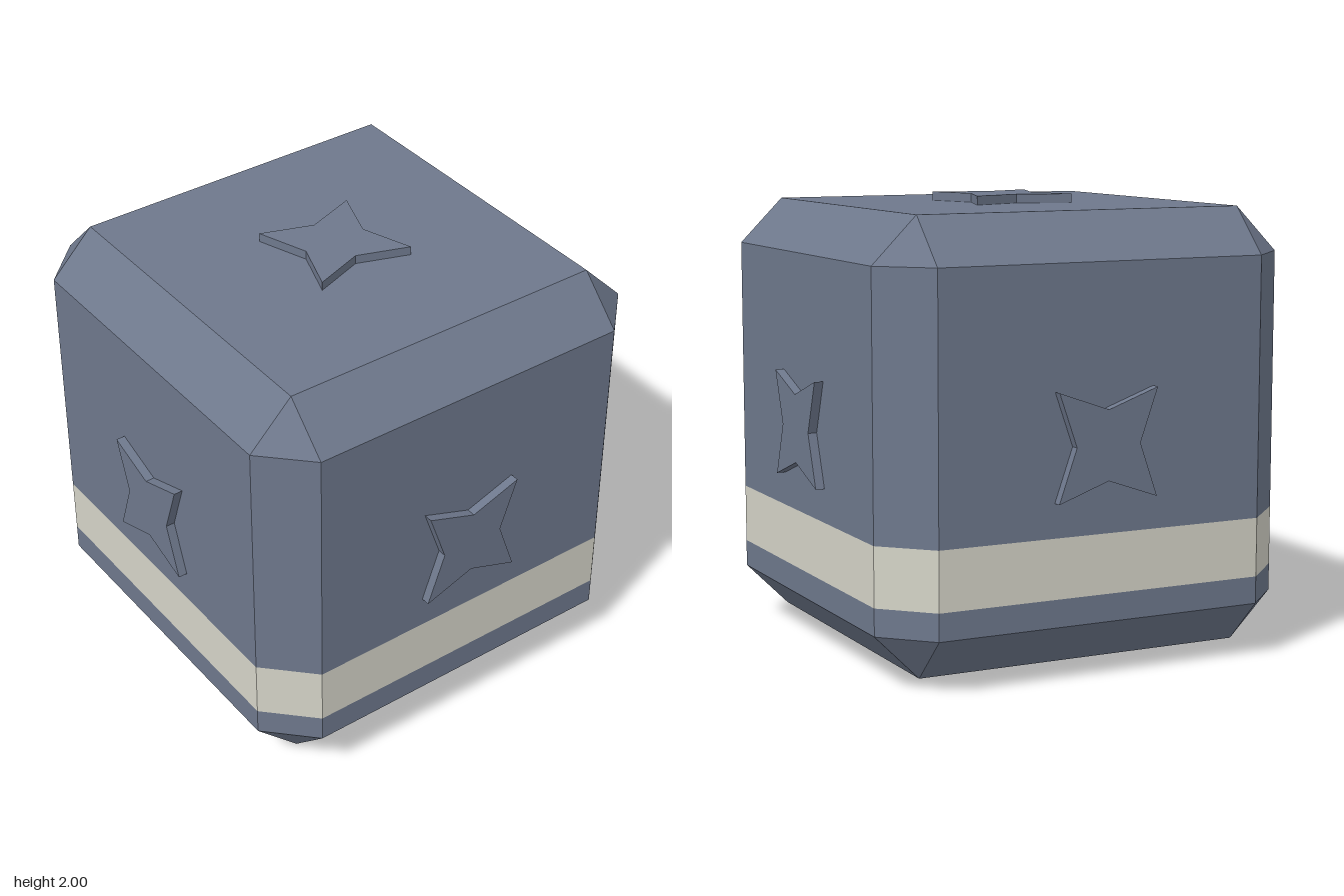
import * as THREE from 'three';

const HALF = 0.96;   // half size of the cube body
const FLAT = 0.76;   // half size of each flat face inside the chamfers

// Eight-point ring; inset = FLAT collapses it to the square edge of a cap
function ring(y, outer) {
  const points = [];
  for (const [sx, sz] of [[1, 1], [1, -1], [-1, -1], [-1, 1]]) {
    const a = new THREE.Vector3(sx * FLAT, y, sz * outer);
    const b = new THREE.Vector3(sx * outer, y, sz * FLAT);
    points.push(...(sx * sz > 0 ? [a, b] : [b, a]));
  }
  return points;
}

function faceted(triangles) {
  const good = triangles.filter(t => new THREE.Triangle(...t).getArea() > 1e-6);
  const geometry = new THREE.BufferGeometry().setFromPoints(good.flat());
  geometry.computeVertexNormals();
  return geometry;
}

// Wall between two rings, counter-clockwise seen from outside
function wall(low, high) {
  const triangles = [];
  for (let i = 0; i < 8; i++) {
    const j = (i + 1) % 8;
    triangles.push([low[i], low[j], high[j]], [low[i], high[j], high[i]]);
  }
  return triangles;
}

function cap(points, up) {
  const [a, b, c, d] = [points[0], points[2], points[4], points[6]];
  return up ? [[a, b, c], [a, c, d]] : [[a, c, b], [a, d, c]];
}

export function createModel() {
  const model = new THREE.Group();
  model.name = 'chamferedCube';
  const slate = new THREE.MeshStandardMaterial({ color: 0x6e788c });
  slate.name = 'slate';
  const cream = new THREE.MeshStandardMaterial({ color: 0xd5d4c8 });
  cream.name = 'cream';

  const add = (name, geometry, material) => {
    const mesh = new THREE.Mesh(geometry, material);
    mesh.name = name;
    model.add(mesh);
    return mesh;
  };

  // Body in three bands, with chamfered top and bottom
  const bottom = ring(0.04, FLAT), top = ring(1.96, FLAT);
  const lower = ring(0.24, HALF), upper = ring(1.76, HALF);
  const stripeLow = ring(0.36, HALF), stripeHigh = ring(0.62, HALF);
  add('lowerBody', faceted([...cap(bottom, false), ...wall(bottom, lower), ...wall(lower, stripeLow)]), slate);
  add('stripe', faceted(wall(stripeLow, stripeHigh)), cream);
  add('upperBody', faceted([...wall(stripeHigh, upper), ...wall(upper, top), ...cap(top, true)]), slate);

  // Raised four-pointed star on every face
  const outline = [];
  for (let i = 0; i < 8; i++) {
    const angle = i * Math.PI / 4;
    const radius = i % 2 ? 0.232 * Math.SQRT2 : 0.15;
    outline.push(new THREE.Vector2(Math.cos(angle) * radius, Math.sin(angle) * radius));
  }
  const starGeometry = new THREE.ExtrudeGeometry(new THREE.Shape(outline), { depth: 0.05, bevelEnabled: false });
  starGeometry.translate(0, 0, 0.95);
  const q = Math.PI / 2;
  const faces = { front: [0, 0], left: [0, q], back: [0, 2 * q], right: [0, -q], top: [-q, 0], bottom: [q, 0] };
  for (const [face, [rx, ry]] of Object.entries(faces)) {
    const star = add(face + 'Star', starGeometry, slate);
    star.rotation.set(rx, ry, 0);
    star.position.y = 1;
  }
  return model;
}
